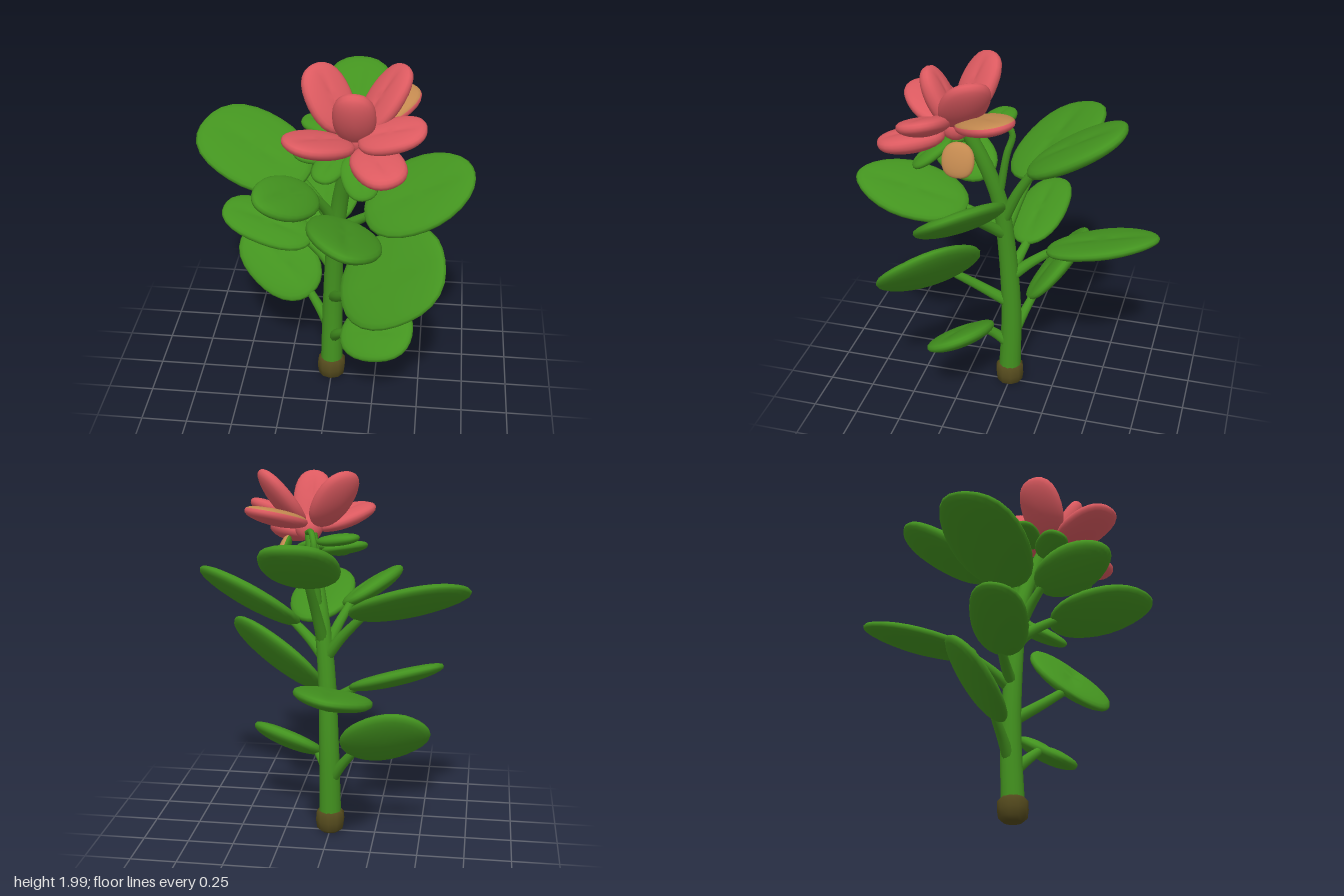
import * as THREE from 'three';
import { mergeVertices } from 'three/addons/utils/BufferGeometryUtils.js';

const V = (a) => new THREE.Vector3(...a);
const paint = (name, color) => {
  const m = new THREE.MeshStandardMaterial({ color });
  m.name = name;
  return m;
};

// Soft flattened blade: x = length, y = thickness, z = width, with a midrib groove.
function bladeGeometry(a, b, t, { point = 0, cup = 0, groove = 0.2, topRows = 0 } = {}) {
  const W = 28, H = 14;
  const g = new THREE.SphereGeometry(1, W, H);
  g.deleteAttribute('uv');
  g.deleteAttribute('normal');
  const p = g.attributes.position;
  for (let i = 0; i < p.count; i++) {
    const x = p.getX(i), y = p.getY(i), z = p.getZ(i);
    const full = 1 + 0.25 * x * x * z * z; // fuller shoulders than an ellipse
    const width = full * (1 - point * Math.max(0, x) ** 2 - 0.12 * Math.max(0, -x) ** 2);
    const rib = y > 0 ? groove * Math.exp(-((z / 0.16) ** 2)) * (1 - x * x) : 0;
    const bend = cup * (0.6 * z * z + 0.4 * x * x - 0.25);
    p.setXYZ(i, x * a * full, (Math.sign(y) * Math.abs(y) ** 0.8 - rib) * t + bend * b, z * b * width);
  }
  const out = mergeVertices(g, 1e-5);
  out.computeVertexNormals();
  if (topRows) {
    // upper rows of the blade take the second material
    const n = 3 * (W + 2 * W * (topRows - 1));
    out.clearGroups();
    out.addGroup(0, n, 1);
    out.addGroup(n, out.index.count - n, 0);
  }
  return out;
}

// Places a blade by centre, length direction and upper-side normal.
function blade(name, material, { c, d, n, a, b, t = 0.048, ...shape }) {
  const x = V(d).normalize();
  const y = V(n).addScaledVector(x, -V(n).dot(x)).normalize();
  const z = new THREE.Vector3().crossVectors(x, y);
  const mesh = new THREE.Mesh(bladeGeometry(a, b, t, shape), material);
  mesh.name = name;
  mesh.quaternion.setFromRotationMatrix(new THREE.Matrix4().makeBasis(x, y, z));
  mesh.position.copy(V(c));
  return mesh;
}

// Tube along a smooth path whose radius runs from r0 to r1.
function taperTube(name, material, points, r0, r1, sides = 10) {
  const curve = new THREE.CatmullRomCurve3(points);
  const segs = 20;
  const g = new THREE.TubeGeometry(curve, segs, 1, sides);
  const p = g.attributes.position, v = new THREE.Vector3();
  for (let i = 0; i < p.count; i++) {
    const u = Math.floor(i / (sides + 1)) / segs;
    const o = curve.getPointAt(u);
    v.fromBufferAttribute(p, i).sub(o).multiplyScalar(r0 + (r1 - r0) * u).add(o);
    p.setXYZ(i, v.x, v.y, v.z);
  }
  const mesh = new THREE.Mesh(g, material);
  mesh.name = name;
  return mesh;
}

export function createModel() {
  const green = paint('leaf green', 0x43931f);
  const pink = paint('petal pink', 0xdc5a60);
  const tan = paint('petal tan', 0xc48a50);
  const brown = paint('root brown', 0x544a1d);

  const model = new THREE.Group();
  model.name = 'floweringPlant';

  // Rounded foot at the cut end of the stem
  const foot = new THREE.Mesh(new THREE.LatheGeometry(
    [[0, 0.005], [0.05, 0.005], [0.074, 0.025], [0.08, 0.07], [0.078, 0.115], [0.062, 0.13], [0, 0.13]]
      .map(([x, y]) => new THREE.Vector2(x, y)), 10), brown);
  foot.name = 'foot';
  model.add(foot);

  // Main stem
  model.add(taperTube('stem', green, [
    [0, 0.08, 0], [0.005, 0.5, -0.01], [0.02, 0.9, 0.01], [0.05, 1.2, 0.04],
    [0.09, 1.42, 0.1], [0.13, 1.64, 0.19]].map(V), 0.062, 0.035, 14));

  // Leaves, each with the point where its stalk leaves the stem
  const leaves = [
    { s: [0.01, 0.27, 0], c: [0.265, 0.46, 0.2], d: [0.85, 0.2, 0.25], n: [-0.3, 0.84, 0.42], a: 0.21, b: 0.17 },
    { s: [0, 0.3, -0.01], c: [-0.31, 0.64, -0.2], d: [-0.73, 0.52, -0.43], n: [0, 0.65, 0.75], a: 0.265, b: 0.19 },
    { s: [0.01, 0.55, 0], c: [0.345, 0.915, 0.335], d: [0.8, 0.52, 0.16], n: [-0.48, 0.68, 0.52], a: 0.32, b: 0.265 },
    { s: [0.01, 0.74, 0], c: [-0.36, 0.945, -0.09], d: [-0.93, 0.3, -0.1], n: [0.3, 0.9, 0.28], a: 0.26, b: 0.155, t: 0.042 },
    { s: [0.02, 0.72, 0], c: [-0.08, 0.945, -0.49], d: [-0.03, 0.23, -0.95], n: [-0.15, 0.95, 0.22], a: 0.31, b: 0.2, point: 0.42, t: 0.045 },
    { s: [0.03, 1.0, 0.02], c: [-0.425, 1.36, -0.16], d: [-0.88, 0.35, -0.33], n: [0.22, 0.85, 0.42], a: 0.325, b: 0.25 },
    { s: [0.03, 1.0, 0.02], c: [0.46, 1.3, 0.13], d: [0.85, 0.45, 0], n: [-0.43, 0.74, 0.42], a: 0.31, b: 0.23, point: 0.25 },
    { s: [0.03, 1.02, 0.02], c: [0.11, 1.24, 0.5], d: [0.1, 0.24, 0.95], n: [0.28, 0.92, -0.25], a: 0.305, b: 0.195, point: 0.4 },
    { s: [0.03, 1.03, 0.02], c: [-0.2, 1.34, 0.31], d: [-0.5, 0.25, 0.75], n: [0.5, 0.8, 0.05], a: 0.225, b: 0.145, point: 0.35 },
    { s: [0.04, 1.08, 0.03], c: [0.1, 1.575, -0.37], d: [0.03, 0.5, -0.85], n: [0, 0.85, 0.5], a: 0.285, b: 0.2, t: 0.055 },
  ];
  for (const { s, ...leaf } of leaves) {
    const group = new THREE.Group();
    group.name = 'leaf';
    const dir = V(leaf.d).normalize();
    const start = V(s), end = V(leaf.c).addScaledVector(dir, -leaf.a * 0.85);
    const mid = start.clone().lerp(end, 0.55).addScaledVector(dir, -0.02);
    group.add(
      taperTube('leafStalk', green, [start, mid, end], 0.034, 0.022),
      blade('leafBlade', green, { cup: 0.1, ...leaf }));
    model.add(group);
  }

  // Flower petals: three upright, four spreading
  const flower = new THREE.Group();
  flower.name = 'flower';
  const petals = [
    { c: [0, 1.83, 0.16], d: [-0.45, 0.82, -0.3], n: [0.5, 0.65, 0.5], a: 0.18, b: 0.13, t: 0.055 },
    { c: [0.28, 1.835, 0.15], d: [0.5, 0.78, -0.35], n: [-0.5, 0.72, 0.28], a: 0.19, b: 0.125, t: 0.052 },
    { c: [0.14, 1.8, 0.32], d: [0, 0.87, 0.42], n: [0, 0.5, -0.8], a: 0.17, b: 0.105, t: 0.06 },
    { c: [-0.02, 1.7, 0.41], d: [-0.7, 0.25, 0.62], n: [0.15, 0.9, -0.1], a: 0.19, b: 0.135 },
    { c: [0.325, 1.73, 0.34], d: [0.95, 0.3, 0.12], n: [-0.2, 0.9, 0.2], a: 0.172, b: 0.122 },
    { c: [0.265, 1.615, 0.435], d: [0.45, -0.08, 0.85], n: [-0.05, 0.95, 0.2], a: 0.17, b: 0.125, t: 0.055 },
  ];
  for (const p of petals) flower.add(blade('petal', pink, { cup: 0.2, groove: 0.15, ...p }));
  flower.add(blade('twoTonePetal', [pink, tan], {
    c: [0.29, 1.75, 0.05], d: [0.6, 0.27, -0.68], n: [-0.08, 0.92, 0.14],
    a: 0.185, b: 0.125, t: 0.045, cup: 0.1, groove: 0.1, topRows: 6 }));
  const heart = new THREE.Mesh(new THREE.SphereGeometry(0.075, 16, 12), pink);
  heart.name = 'flowerHeart';
  heart.position.set(0.15, 1.665, 0.24);
  flower.add(heart);

  // Sepals under the flower, one of them hanging with a tan outer face
  const sepals = [
    { c: [-0.03, 1.635, 0.07], d: [-0.85, 0.15, -0.3], n: [0.1, 0.95, 0.1], a: 0.12, b: 0.08 },
    { c: [-0.05, 1.565, 0.21], d: [-0.9, 0.1, 0.25], n: [0, 0.9, 0.3], a: 0.125, b: 0.085 },
    { c: [0.03, 1.54, 0.3], d: [-0.4, -0.3, 0.8], n: [0, 0.95, 0.3], a: 0.125, b: 0.08 },
    { c: [0.17, 1.51, 0.36], d: [0.35, -0.55, 0.7], n: [0.1, 0.85, 0.5], a: 0.125, b: 0.088 },
  ];
  for (const s of sepals) flower.add(blade('sepal', green, { t: 0.032, ...s }));
  flower.add(blade('hangingSepal', [green, tan], {
    c: [0.28, 1.54, 0.19], d: [0.3, -0.95, 0], n: [0.95, 0.3, 0], a: 0.092, b: 0.085, t: 0.032, groove: 0, topRows: 7 }));

  // Thin curled tendril behind the flower
  flower.add(taperTube('tendril', green, [
    [0.07, 1.3, 0.03], [0.08, 1.5, -0.005], [0.08, 1.62, -0.035], [0.1, 1.68, 0.01], [0.14, 1.66, 0.12]].map(V),
  0.022, 0.014, 8));
  model.add(flower);

  return model;
}
